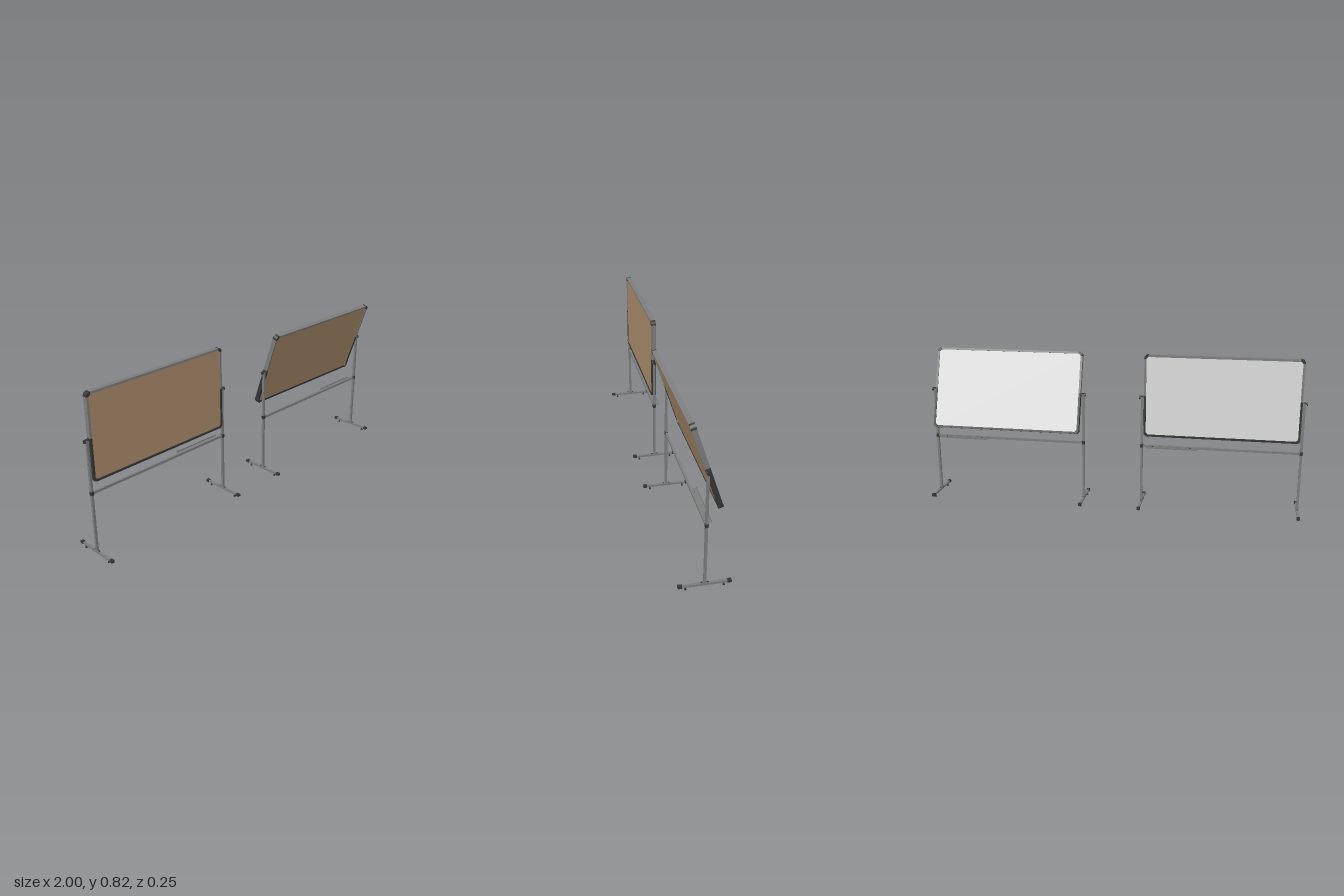
import * as THREE from 'three';

const mat = (name, color, opts = {}) => new THREE.MeshStandardMaterial({ name, color, ...opts });

export function createModel() {
  const cork = mat('cork', 0xa98a6a);
  const white = mat('whiteboard', 0xdcdcdc);
  const metal = mat('metal', 0x7c7c7c);
  const dark = mat('darkPlastic', 0x353535);

  const W = 0.403, H = 0.218, R = 0.022, BAND = 0.011, DEPTH = 0.024;
  const POST_X = 0.413, PIVOT_Y = 0.606, BAR_Y = 0.333;

  const add = (parent, name, geo, material, x = 0, y = 0, z = 0) => {
    const m = new THREE.Mesh(geo, material);
    m.name = name;
    m.position.set(x, y, z);
    parent.add(m);
    return m;
  };
  const box = (parent, name, w, h, d, material, x, y, z) =>
    add(parent, name, new THREE.BoxGeometry(w, h, d), material, x, y, z);
  const cyl = (parent, name, r1, r2, h, material, x, y, z, axis = 'y') => {
    const g = new THREE.CylinderGeometry(r1, r2, h, 16);
    if (axis === 'x') g.rotateZ(-Math.PI / 2);
    if (axis === 'z') g.rotateX(Math.PI / 2);
    return add(parent, name, g, material, x, y, z);
  };

  // Rounded frame corner, outer corner at (0, 0) reaching towards -x and -y
  function cornerGeometry() {
    const s = new THREE.Shape();
    s.moveTo(-R, 0);
    s.absarc(-R, -R, R, Math.PI / 2, 0, true);
    s.lineTo(-BAND - 0.001, -R);
    s.lineTo(-R, -BAND - 0.001);
    s.closePath();
    const d = DEPTH + 0.002;
    return new THREE.ExtrudeGeometry(s, { depth: d, bevelEnabled: false, curveSegments: 8 })
      .translate(0, 0, -d / 2);
  }

  // Two-sided board, pivoting about its middle
  function buildBoard() {
    const b = new THREE.Group();
    b.name = 'board';
    const pw = 2 * (W - BAND) + 0.004, ph = 2 * (H - BAND) + 0.004;
    box(b, 'corkPanel', pw, ph, 0.009, cork, 0, 0, 0.0045);
    box(b, 'whitePanel', pw, ph, 0.009, white, 0, 0, -0.0045);
    box(b, 'topRail', 2 * (W - R), BAND, DEPTH, metal, 0, H - BAND / 2, 0);
    box(b, 'bottomRail', 2 * (W - R), BAND, DEPTH, dark, 0, -H + BAND / 2, 0);
    for (const s of [-1, 1]) {
      const x = s * (W - BAND / 2);
      box(b, 'upperSideRail', BAND, H - R, DEPTH, metal, x, (H - R) / 2, 0);
      box(b, 'lowerSideRail', BAND, H - R, DEPTH, dark, x, -(H - R) / 2, 0);
    }
    const corner = cornerGeometry();
    [[1, 1], [-1, 1], [-1, -1], [1, -1]].forEach(([sx, sy], i) => {
      add(b, 'corner', corner, dark, sx * (W + 0.001), sy * (H + 0.001), 0).rotation.z = i * Math.PI / 2;
    });
    return b;
  }

  // Post with foot, casters, joint and pivot knob
  function buildLeg(side) {
    const g = new THREE.Group();
    g.name = 'leg';
    const x = side * POST_X;
    box(g, 'post', 0.012, 0.577, 0.012, metal, x, 0.3125, 0);
    box(g, 'postCap', 0.013, 0.004, 0.013, dark, x, 0.602, 0);
    box(g, 'footBar', 0.013, 0.01, 0.22, metal, x, 0.02, 0);
    box(g, 'postPlate', 0.012, 0.003, 0.042, metal, x, 0.0265, 0);
    for (const s of [-1, 1]) {
      box(g, 'footCap', 0.016, 0.013, 0.019, dark, x, 0.0205, s * 0.113);
      cyl(g, 'casterStem', 0.0035, 0.0035, 0.01, dark, x, 0.011, s * 0.088);
      cyl(g, 'casterFoot', 0.004, 0.0055, 0.007, dark, x, 0.0035, s * 0.088);
      cyl(g, 'plateBolt', 0.004, 0.005, 0.003, dark, x, 0.0285, s * 0.014);
    }
    box(g, 'crossbarJoint', 0.015, 0.018, 0.015, dark, x, BAR_Y, 0);
    cyl(g, 'pivotPin', 0.003, 0.003, 0.026, dark, side * 0.412, 0.596, 0, 'x');
    cyl(g, 'pivotKnob', 0.009, 0.009, 0.005, dark, side * 0.426, 0.596, 0, 'x');
    return g;
  }

  // Shallow pen tray behind the crossbar
  function buildTray() {
    const t = new THREE.Group();
    t.name = 'penTray';
    const len = 0.27, x = 0.255;
    box(t, 'trayFloor', len, 0.002, 0.025, metal, x, BAR_Y - 0.004, -0.0175);
    box(t, 'trayBackLip', len, 0.008, 0.002, metal, x, BAR_Y - 0.001, -0.029);
    box(t, 'trayFrontLip', len, 0.01, 0.002, metal, x, BAR_Y, -0.007);
    for (const s of [-1, 1])
      cyl(t, 'trayScrew', 0.003, 0.003, 0.008, dark, x + s * 0.1, BAR_Y, -0.009, 'z');
    return t;
  }

  function buildStand(name, x, tilt) {
    const g = new THREE.Group();
    g.name = name;
    g.position.x = x;
    for (const s of [-1, 1]) g.add(buildLeg(s));
    box(g, 'crossbar', 2 * POST_X - 0.012, 0.012, 0.011, metal, 0, BAR_Y, 0);
    g.add(buildTray());
    const board = buildBoard();
    board.position.y = PIVOT_Y;
    board.rotation.x = tilt;
    g.add(board);
    return g;
  }

  const model = new THREE.Group();
  model.name = 'pivotingBoards';
  model.add(buildStand('uprightStand', -0.5715, 0));
  model.add(buildStand('tiltedStand', 0.5715, 0.315));
  return model;
}
